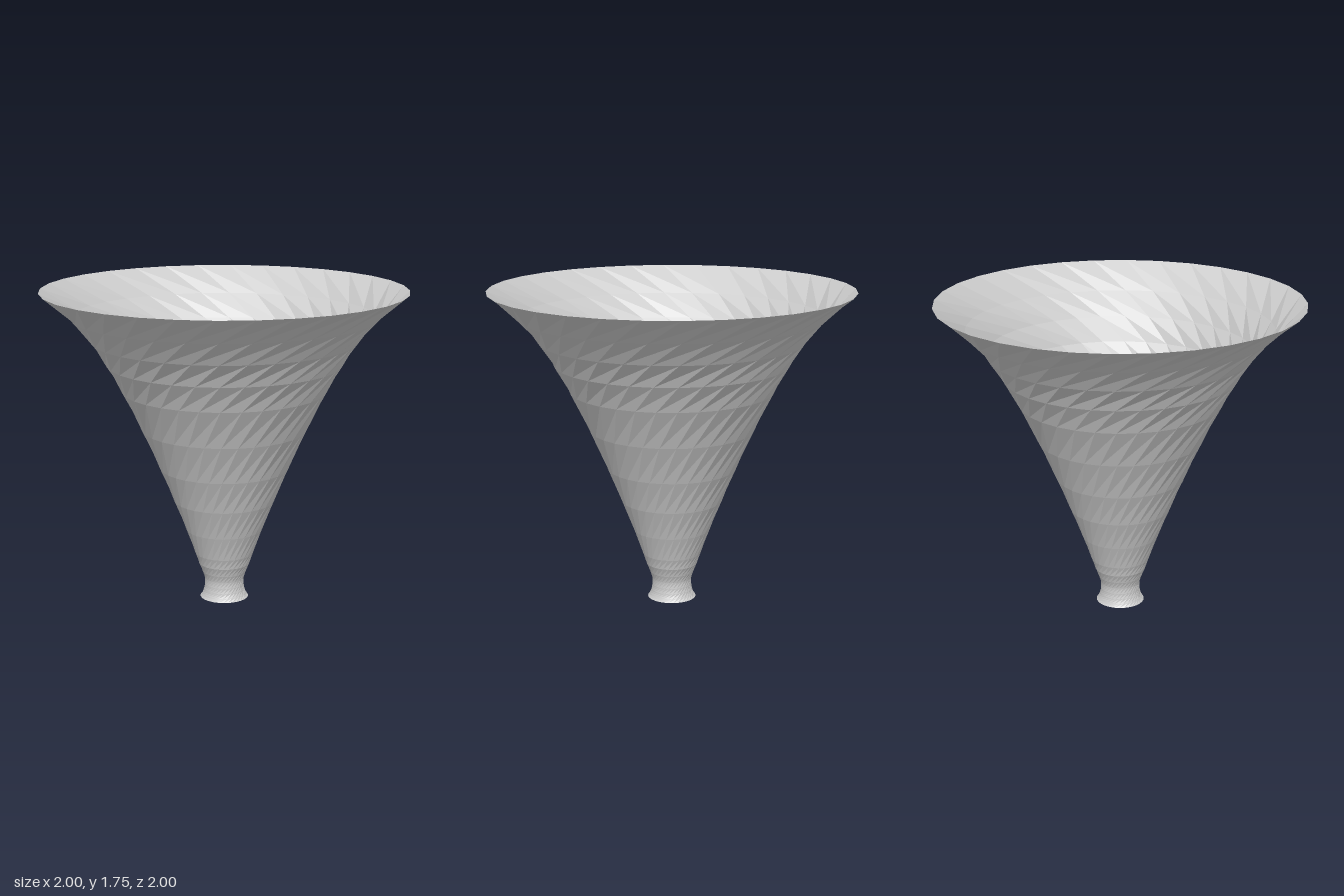
import * as THREE from 'three';

const SIDES = 32;

// Funnel profile from the foot to the rim: [flat-to-flat radius, height]
const PROFILE = [
  [0.135, 0], [0.122, 0.02], [0.114, 0.045], [0.11, 0.075], [0.11, 0.11],
  [0.123, 0.15], [0.143, 0.2], [0.163, 0.26], [0.213, 0.4], [0.28, 0.57],
  [0.358, 0.76], [0.455, 0.98], [0.562, 1.2], [0.645, 1.35], [0.727, 1.48],
  [0.835, 1.61], [1, 1.755],
];

// Joins the rings with facets that swirl one step per row
function twistedShell(profile) {
  const step = (2 * Math.PI) / SIDES;
  const positions = [];
  const index = [];
  for (const [flat, y] of profile) {
    const r = flat / Math.cos(step / 2);
    for (let i = 0; i < SIDES; i++) {
      const a = (i + 0.5) * step;
      positions.push(r * Math.sin(a), y, r * Math.cos(a));
    }
  }
  const at = (row, i) => row * SIDES + (i % SIDES);
  for (let row = 0; row < profile.length - 1; row++) {
    for (let i = 0; i < SIDES; i++) {
      const a = at(row, i), b = at(row, i + 1);
      const c = at(row + 1, i + 2), d = at(row + 1, i + 1);
      index.push(a, b, c, a, c, d);
    }
  }
  const geometry = new THREE.BufferGeometry();
  geometry.setAttribute('position', new THREE.Float32BufferAttribute(positions, 3));
  geometry.setIndex(index);
  const flatGeometry = geometry.toNonIndexed();
  flatGeometry.computeVertexNormals();
  return flatGeometry;
}

export function createModel() {
  const group = new THREE.Group();
  group.name = 'funnel';

  // Thin flared shell, open at both ends
  const shell = new THREE.Mesh(
    twistedShell(PROFILE),
    new THREE.MeshStandardMaterial({ color: 0xcccccc, flatShading: true, side: THREE.DoubleSide })
  );
  shell.name = 'flaredShell';
  group.add(shell);
  return group;
}
